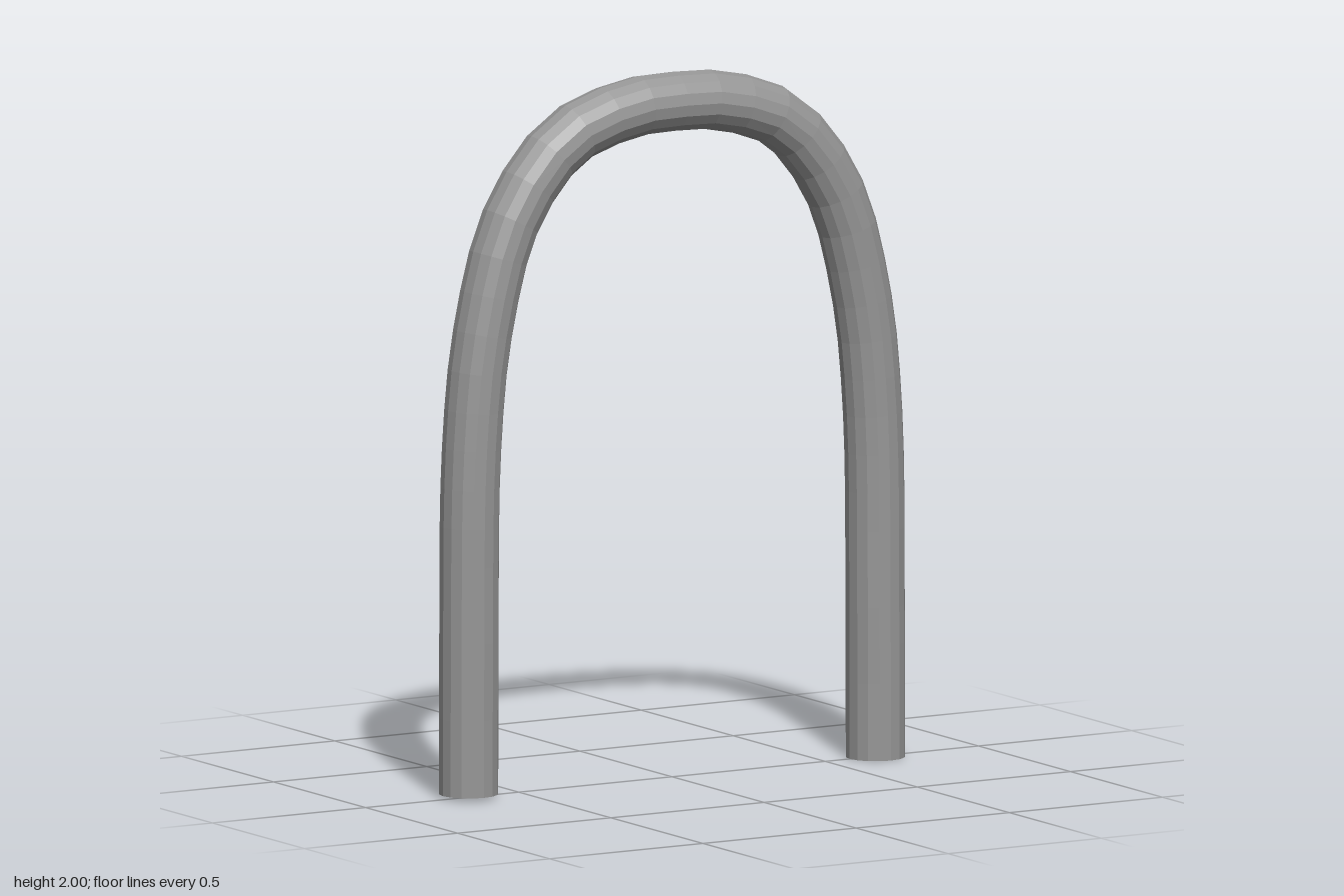
import * as THREE from 'three';

// Half of the centre line, from the foot up to the shoulder
const half = [
  [0.664, 0], [0.663, 0.39], [0.654, 0.99], [0.616, 1.325],
  [0.524, 1.63], [0.357, 1.833], [0.155, 1.906],
];

export function createModel() {
  const group = new THREE.Group();
  group.name = 'archedBar';

  // Mirror the half profile across x = 0 to get the whole arch
  const left = half.map(([x, y]) => new THREE.Vector3(x, y, 0));
  const right = left.map((p) => new THREE.Vector3(-p.x, p.y, 0));
  right[0].y = 0.01; // the right foot ends slightly higher
  const path = new THREE.CatmullRomCurve3([
    ...right, new THREE.Vector3(0, 1.916, 0), ...left.reverse(),
  ]);

  // Faceted tube, open at both feet
  const tube = new THREE.Mesh(
    new THREE.TubeGeometry(path, 42, 0.084, 16, false),
    new THREE.MeshStandardMaterial({ color: 0x969696, flatShading: true, side: THREE.DoubleSide }),
  );
  tube.name = 'archTube';
  group.add(tube);
  return group;
}
